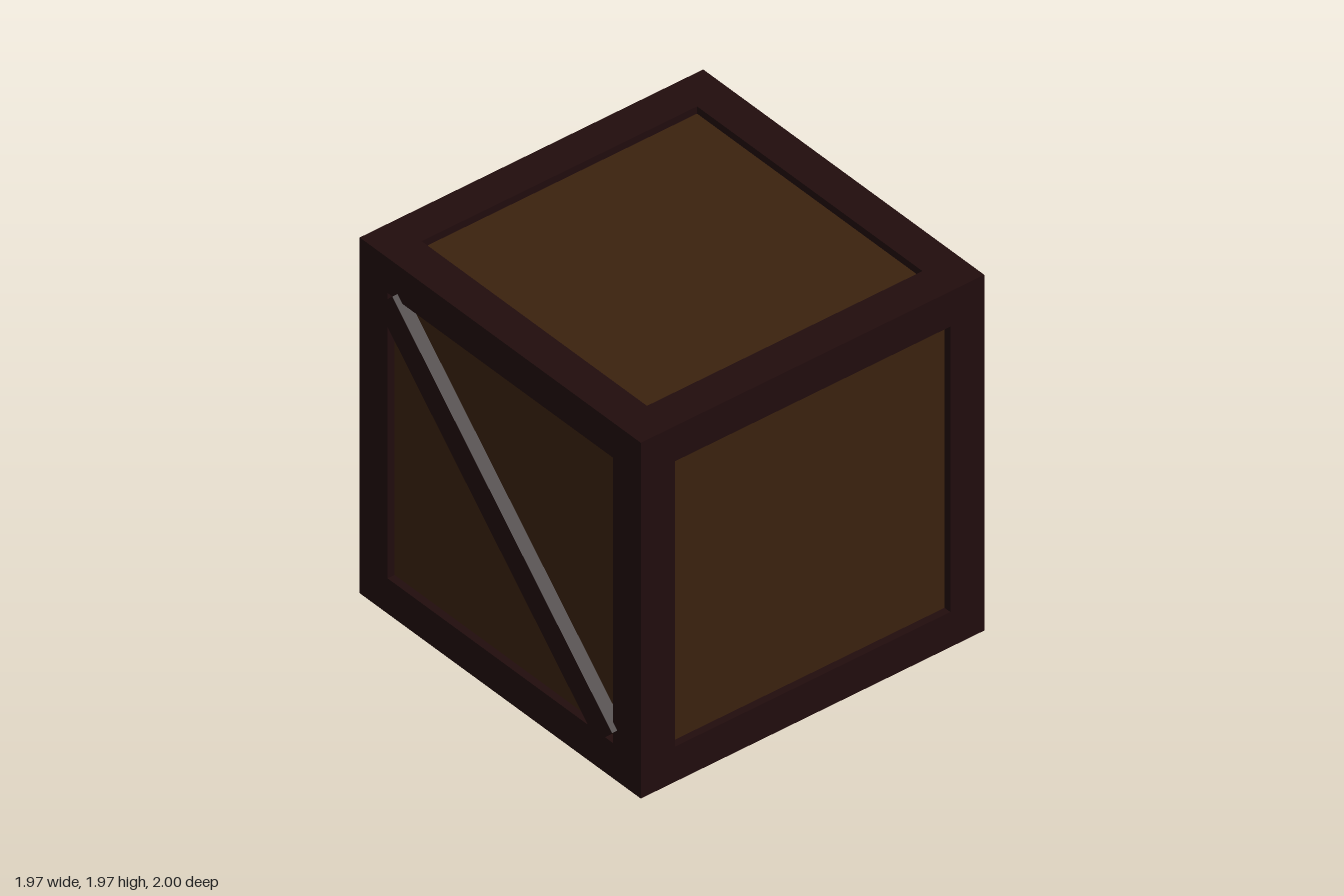
import * as THREE from 'three';

export function createModel() {
  const crate = new THREE.Group();
  crate.name = 'crate';
  const frameWood = new THREE.MeshStandardMaterial({ color: 0x210c0d });
  frameWood.name = 'dark frame wood';
  const panelWood = new THREE.MeshStandardMaterial({ color: 0x3b220e });
  panelWood.name = 'brown panel wood';

  const size = 1.97, beam = 0.195, recess = 0.04;
  const inner = size - 2 * beam, offset = (size - beam) / 2;
  const body = new THREE.Group();
  body.name = 'body';
  body.position.set(0, size / 2, -0.015);
  crate.add(body);

  function box(name, material, w, h, d, x, y, z) {
    const mesh = new THREE.Mesh(new THREE.BoxGeometry(w, h, d), material);
    mesh.name = name;
    mesh.position.set(x, y, z);
    body.add(mesh);
    return mesh;
  }

  // Recessed panels on all six sides, as one solid core
  const core = size - 2 * recess;
  box('panels', panelWood, core, core, core, 0, 0, 0);

  // Twelve edge beams: full-height posts with rails between them
  for (const a of [-offset, offset]) {
    for (const b of [-offset, offset]) {
      box('cornerPost', frameWood, beam, size, beam, a, 0, b);
      box('crossRail', frameWood, inner, beam, beam, 0, a, b);
      box('sideRail', frameWood, beam, beam, inner, a, b, 0);
    }
  }

  // Diagonal brace across the front, standing slightly proud of the frame
  const brace = box('diagonalBrace', frameWood, 2.17, 0.156, 0.09, -0.005, 0.005, 0.97);
  brace.rotation.z = -0.781;

  return crate;
}
